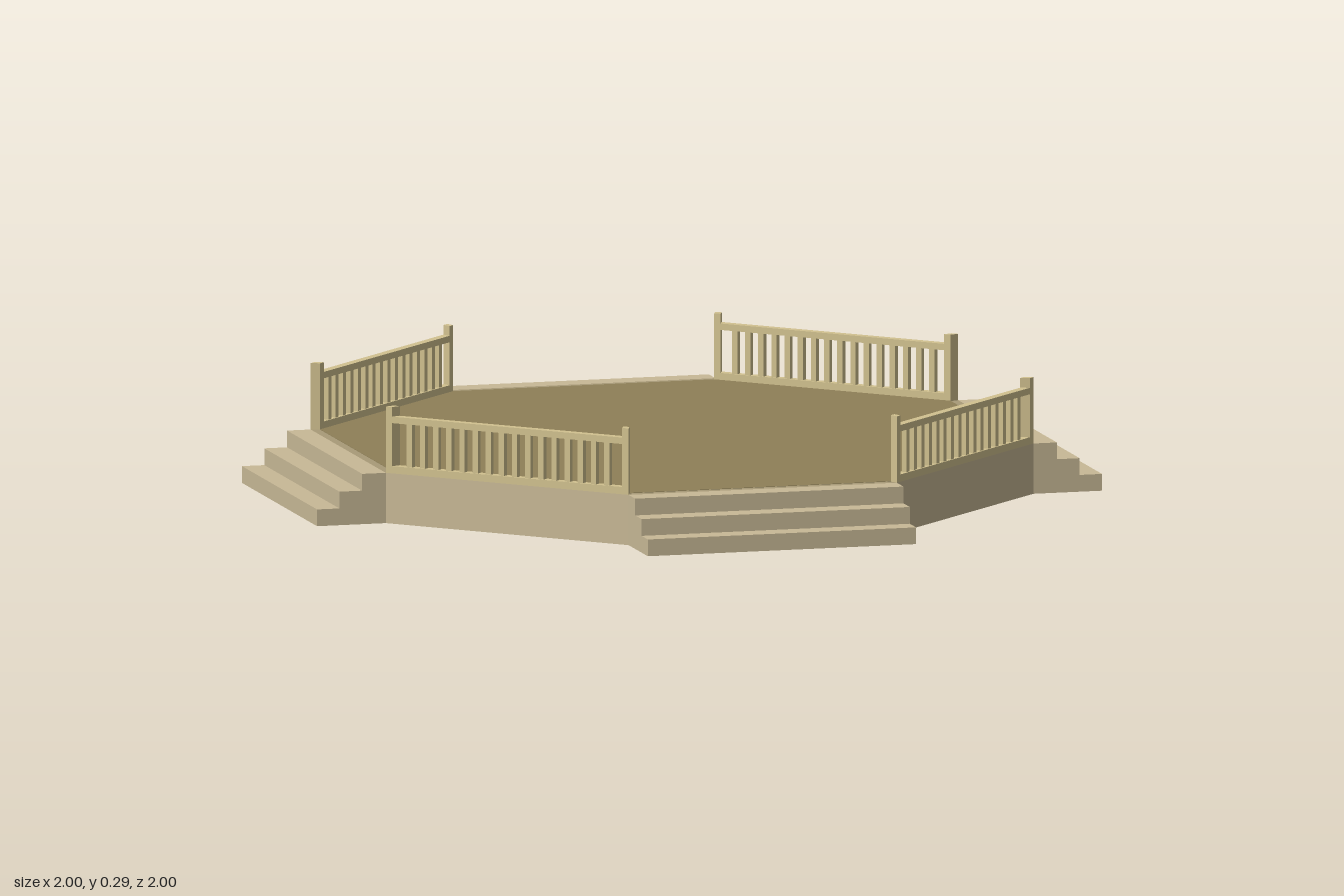
import * as THREE from 'three';

const A = 0.825;                          // apothem of the octagonal deck
const T = Math.tan(Math.PI / 8);
const HALF = A * T;                       // half length of one octagon side
const H = 0.125;                          // deck height

const mat = (color) => new THREE.MeshStandardMaterial({ color });

function add(parent, name, geometry, material) {
  const mesh = new THREE.Mesh(geometry, material);
  mesh.name = name;
  parent.add(mesh);
  return mesh;
}

// Octagonal prism with flat sides facing the axes
function octagon(apothem, height) {
  const r = apothem / Math.cos(Math.PI / 8);
  return new THREE.CylinderGeometry(r, r, height, 8, 1, false, Math.PI / 8).toNonIndexed();
}

// Upright prism standing on y0, from outline points [x, z]
function prism(points, y0, y1) {
  const shape = new THREE.Shape(points.map(([x, z]) => new THREE.Vector2(x, -z)));
  return new THREE.ExtrudeGeometry(shape, { depth: y1 - y0, bevelEnabled: false })
    .rotateX(-Math.PI / 2).translate(0, y0, 0);
}

// Three steps, facing +z
function stairs(material) {
  const profile = new THREE.Shape([
    [A, 0], [1, 0], [1, H / 3], [0.943, H / 3], [0.943, 2 * H / 3],
    [0.885, 2 * H / 3], [0.885, H], [A, H],
  ].map(([z, y]) => new THREE.Vector2(z, y)));
  const geo = new THREE.ExtrudeGeometry(profile, { depth: 2 * HALF, bevelEnabled: false })
    .rotateY(-Math.PI / 2).translate(HALF, 0, 0);
  const group = new THREE.Group();
  add(group, 'steps', geo, material);
  return group;
}

// Railing along one octagon side, facing +z, with ends mitred to the corners
function railing(material) {
  const group = new THREE.Group();
  const depth = 0.022, post = 0.018;
  const zIn = A - depth, endIn = zIn * T;

  for (const s of [-1, 1]) {
    const outline = [[s * HALF, A], [s * (HALF - post), A], [s * (endIn - post), zIn], [s * endIn, zIn]];
    add(group, 'railingPost', prism(outline, H, 0.29), material);
  }

  const a = HALF - post, b = endIn - post;
  const bar = [[-a, A], [a, A], [b, zIn], [-b, zIn]];
  add(group, 'bottomRail', prism(bar, H, 0.143), material);
  add(group, 'topRail', prism(bar, 0.25, 0.266), material);

  const slots = 17;
  const baluster = new THREE.BoxGeometry(0.015, 0.107, 0.014);
  for (let i = 1; i < slots; i++) {
    const mesh = add(group, 'baluster', baluster, material);
    mesh.position.set(-b + (2 * b * i) / slots, 0.1965, A - depth / 2);
  }
  return group;
}

export function createModel() {
  const model = new THREE.Group();
  model.name = 'octagonalDeck';
  const tan = mat(0xc8b996), rim = mat(0xa99b78), brown = mat(0x8f8058), cream = mat(0xd2c290);

  // Deck body: tan sides, lighter rim on top, dark underside
  const base = add(model, 'deckBase', octagon(A, H), [tan, rim, brown]);
  base.geometry.computeVertexNormals();
  base.position.y = H / 2;

  // Inset floor panel
  const floor = add(model, 'deckFloor', octagon(0.803, 0.004), brown);
  floor.geometry.computeVertexNormals();
  floor.position.y = H - 0.001;

  // Stairs on the four straight sides, railings on the four diagonal sides
  for (let i = 0; i < 4; i++) {
    const flight = stairs(tan);
    flight.name = 'stairs';
    flight.rotation.y = i * Math.PI / 2;
    const rail = railing(cream);
    rail.name = 'railing';
    rail.rotation.y = (i + 0.5) * Math.PI / 2;
    model.add(flight, rail);
  }
  return model;
}
